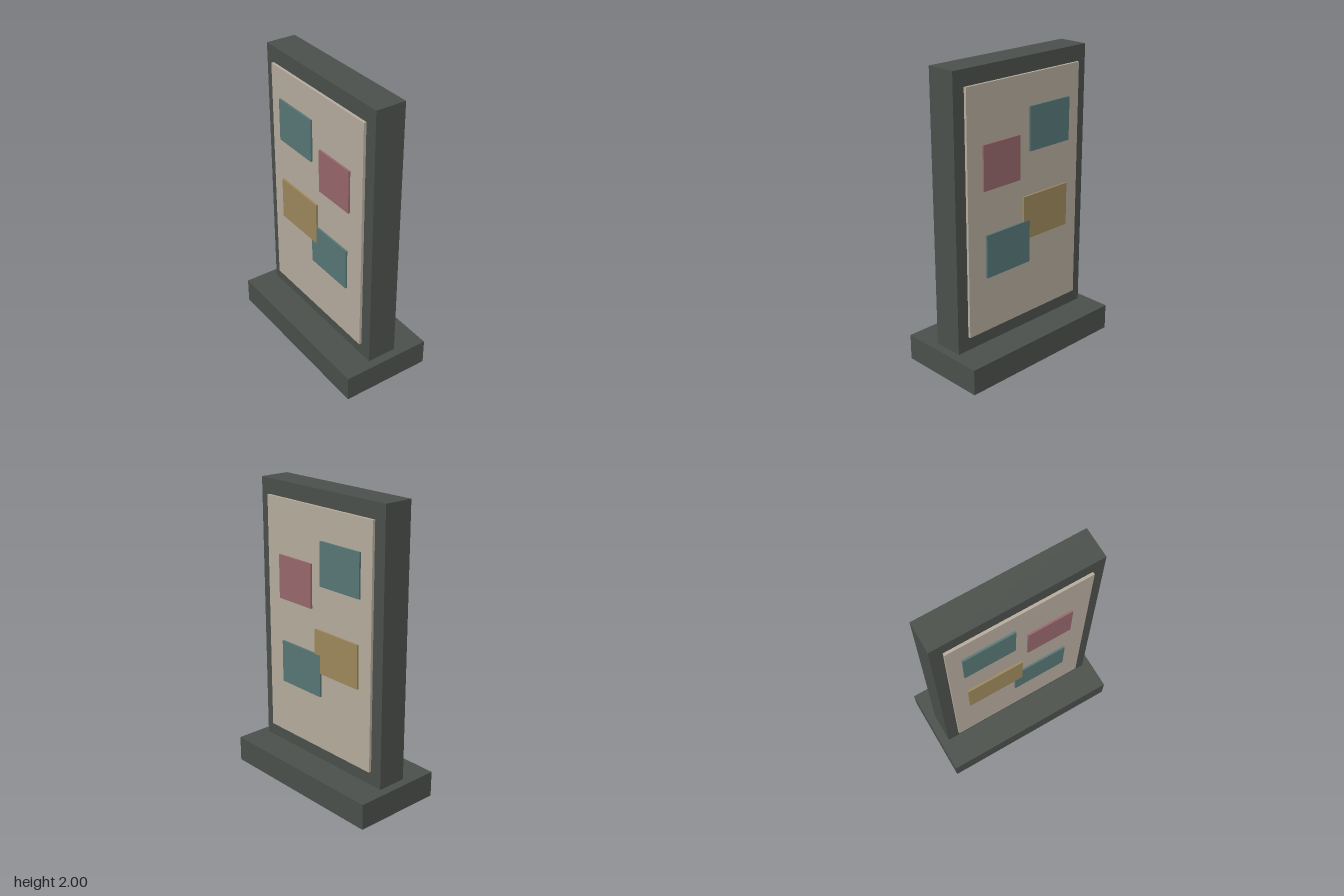
import * as THREE from 'three';

const paint = (name, color) => {
  const m = new THREE.MeshStandardMaterial({ color });
  m.name = name;
  return m;
};

export function createModel() {
  const frameGrey = paint('frame grey', 0x4c514c);
  const boardBeige = paint('board beige', 0xb8ae9f);
  const teal = paint('teal', 0x587877);
  const red = paint('dusty red', 0x99696d);
  const ochre = paint('ochre', 0x9f8a5e);

  // Box given by its extents on each axis
  const box = (name, material, [x0, x1], [y0, y1], [z0, z1]) => {
    const mesh = new THREE.Mesh(new THREE.BoxGeometry(x1 - x0, y1 - y0, z1 - z0), material);
    mesh.position.set((x0 + x1) / 2, (y0 + y1) / 2, (z0 + z1) / 2);
    mesh.name = name;
    return mesh;
  };

  const model = new THREE.Group();
  model.name = 'noticeStand';
  model.add(
    box('base', frameGrey, [-0.622, 0.622], [0, 0.175], [-0.312, 0.312]),
    box('frame', frameGrey, [-0.563, 0.563], [0.175, 2], [-0.103, 0.103])
  );

  // Sheets: name, colour, x extent, y extent
  const sheets = [
    ['upperTealSheet', teal, [-0.387, -0.034], [1.4, 1.69]],
    ['redSheet', red, [0.052, 0.362], [1.232, 1.527]],
    ['ochreSheet', ochre, [-0.377, 0.019], [0.813, 1.107]],
    ['lowerTealSheet', teal, [-0.033, 0.341], [0.648, 0.938]]
  ];

  // Board and sheets on both faces; the overlapping sheet differs per side
  for (const side of [1, -1]) {
    const face = new THREE.Group();
    face.name = side > 0 ? 'frontFace' : 'backFace';
    const depth = (a, b) => (side > 0 ? [a, b] : [-b, -a]);
    const onTop = side > 0 ? 'ochreSheet' : 'lowerTealSheet';
    face.add(
      box('boardMount', frameGrey, [-0.46, 0.46], [0.3, 1.87], depth(0.1, 0.109)),
      box('board', boardBeige, [-0.483, 0.483], [0.273, 1.897], depth(0.107, 0.125))
    );
    for (const [name, material, xs, ys] of sheets) {
      face.add(box(name, material, xs, ys, depth(0.124, name === onTop ? 0.1385 : 0.1378)));
    }
    model.add(face);
  }
  return model;
}
